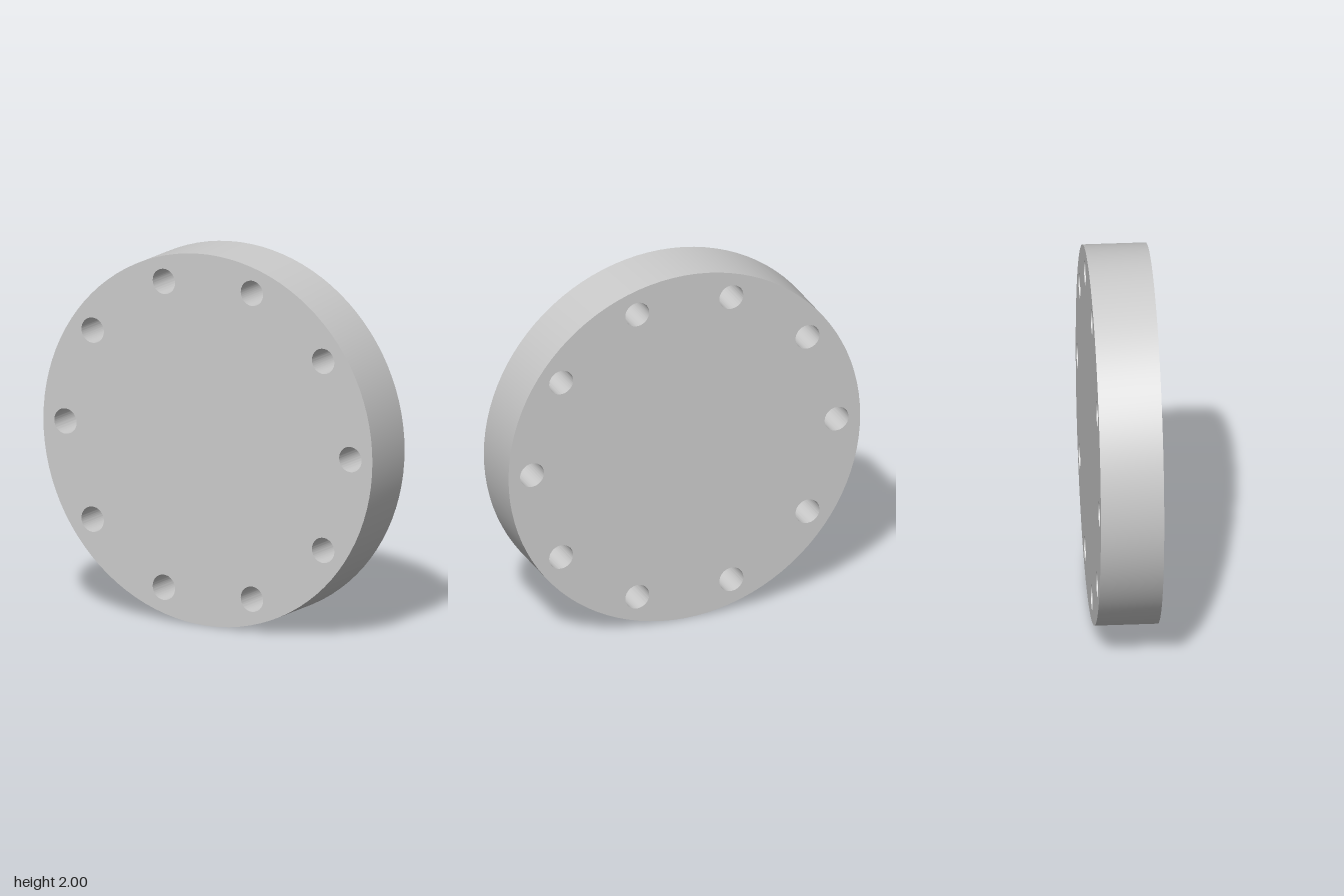
import * as THREE from 'three';
import { toCreasedNormals } from 'three/addons/utils/BufferGeometryUtils.js';

const RADIUS = 1;
const THICKNESS = 0.333;
const HOLE_COUNT = 10;
const HOLE_RADIUS = 0.068;
const BOLT_CIRCLE = 0.866;

export function createModel() {
  const group = new THREE.Group();
  group.name = 'blindFlange';

  // Round outline with a ring of bolt holes
  const outline = new THREE.Shape();
  outline.absarc(0, 0, RADIUS, 0, Math.PI * 2, false);
  for (let i = 0; i < HOLE_COUNT; i++) {
    const angle = (i / HOLE_COUNT) * Math.PI * 2;
    const hole = new THREE.Path();
    hole.absarc(BOLT_CIRCLE * Math.cos(angle), BOLT_CIRCLE * Math.sin(angle),
      HOLE_RADIUS, 0, Math.PI * 2, true);
    outline.holes.push(hole);
  }

  // Thick disc, centred in depth and standing on the ground
  const geometry = new THREE.ExtrudeGeometry(outline, {
    depth: THICKNESS, bevelEnabled: false, curveSegments: 48,
  });
  geometry.translate(0, RADIUS, -THICKNESS / 2);

  const disc = new THREE.Mesh(
    toCreasedNormals(geometry, Math.PI / 6),
    new THREE.MeshStandardMaterial({ color: 0xcccccc }),
  );
  disc.name = 'drilledDisc';
  group.add(disc);
  return group;
}
